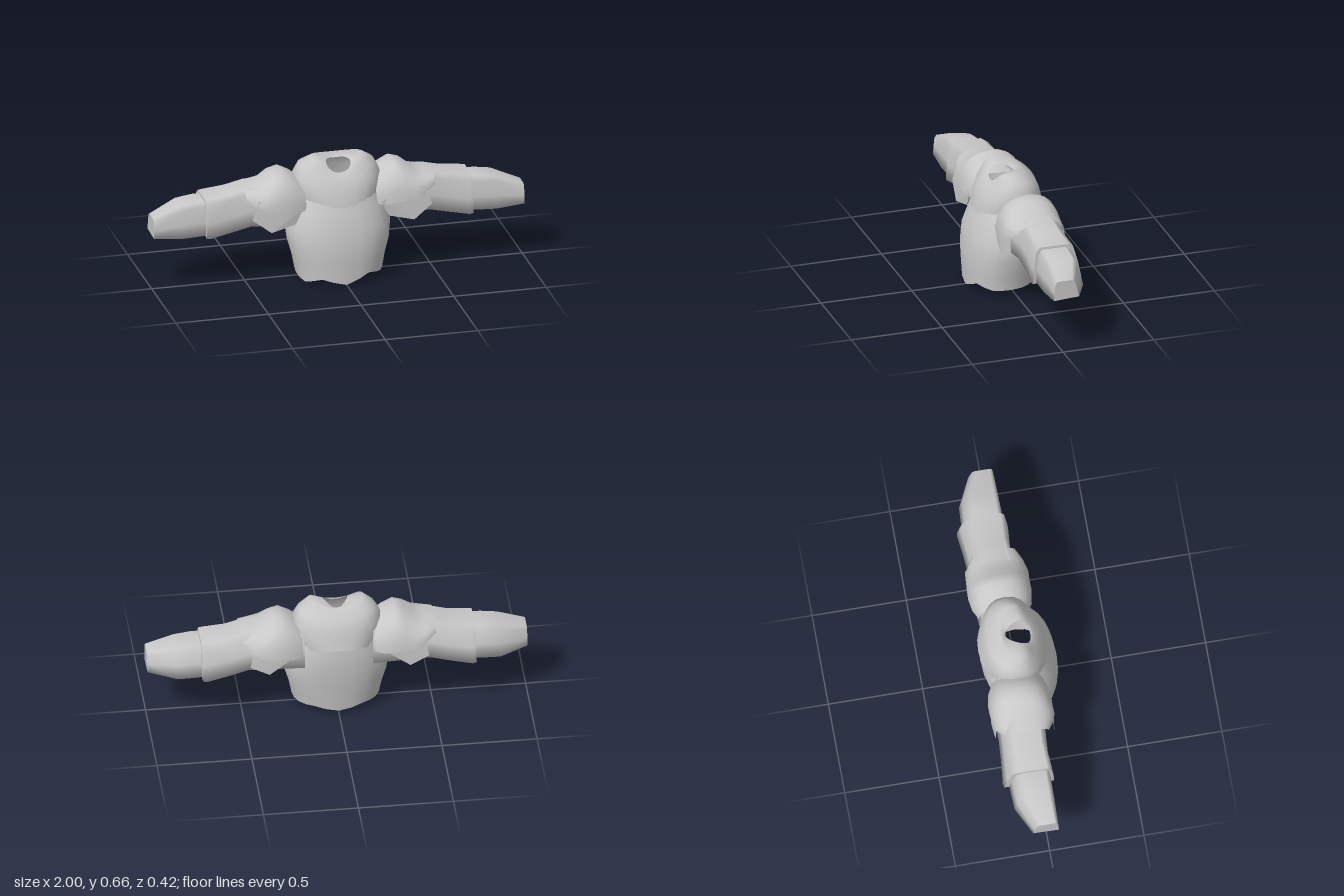
import * as THREE from 'three';

const cloth = new THREE.MeshStandardMaterial({ color: 0xc8c8c8, side: THREE.DoubleSide });
cloth.name = 'grey cloth';

// Skin a list of equal-length point rings; closed rings wrap around.
function loft(name, rings, closed = true) {
  const n = rings[0].length, index = [];
  const spans = closed ? n : n - 1;
  for (let r = 0; r < rings.length - 1; r++) {
    for (let i = 0; i < spans; i++) {
      const a = r * n + i, b = r * n + (i + 1) % n;
      index.push(a, b, a + n, b, b + n, a + n);
    }
  }
  const geo = new THREE.BufferGeometry();
  geo.setAttribute('position', new THREE.Float32BufferAttribute(rings.flat(2), 3));
  geo.setIndex(index);
  geo.computeVertexNormals();
  const mesh = new THREE.Mesh(geo, cloth);
  mesh.name = name;
  return mesh;
}

const SEG = 24;
const pow = (v, e) => Math.sign(v) * Math.abs(v) ** e;
const angles = Array.from({ length: SEG }, (_, i) => (i / SEG) * Math.PI * 2);

// Horizontal section: half width, front z, back z; y is a function of the angle.
function section(hx, zf, zb, yAt, e = 0.88, taper = 0) {
  return angles.map((a, i) => {
    const c = pow(Math.cos(a), e), s = pow(Math.sin(a), e);
    return [hx * s * (1 + taper * c), yAt(a, i), (zf + zb) / 2 + ((zf - zb) / 2) * c];
  });
}

// Uneven hem heights, from the front centre around by the left side
const hem = [0.005, 0.055, 0.037, 0.04, 0.045, 0.05, 0.025, 0.05, 0.045, 0.035, 0.012, 0.038];
const hemY = (a, i) => (i % 2 ? (hem[(i - 1) / 2] + hem[((i + 1) / 2) % 12]) / 2 : hem[i / 2]);

function makeTorso() {
  const rows = [
    [0.12, 0.245, 0.21, -0.17], [0.2, 0.268, 0.21, -0.18], [0.3, 0.28, 0.198, -0.195],
    [0.4, 0.25, 0.165, -0.195], [0.48, 0.21, 0.135, -0.185],
  ];
  return loft('torso', [
    section(0.23, 0.205, -0.155, hemY),
    ...rows.map(([y, hx, zf, zb]) => section(hx, zf, zb, () => y)),
  ]);
}

// Yoke over the shoulders, ending in the neck opening
function makeYoke() {
  const rows = [ // y front, y side, y back, half width, z front, z back, taper
    [0.42, 0.41, 0.445, 0.205, 0.158, -0.206, 0],
    [0.475, 0.49, 0.48, 0.228, 0.147, -0.195, 0],
    [0.53, 0.56, 0.54, 0.232, 0.125, -0.18, 0],
    [0.565, 0.62, 0.6, 0.2, 0.1, -0.155, 0],
    [0.585, 0.662, 0.645, 0.14, 0.08, -0.09, 0],
    [0.585, 0.635, 0.62, 0.06, 0.07, -0.062, 0.4],
  ];
  return loft('yoke', rows.map(([yf, ys, yb, hx, zf, zb, t]) => section(hx, zf, zb, (a) => {
    const c = Math.cos(a);
    return ys + ((c > 0 ? yf : yb) - ys) * c * c;
  }, 0.88, t)));
}

// Rounded trapezoid profile shared by sleeve and forearm (u: front to back, v: up)
const armProfile = [[0, 0], [0.02, 0.4], [0.06, 0.87], [0.14, 1], [0.72, 1], [0.84, 0.9], [0.93, 0.5], [1, 0.08]];
const armRing = ([x, zf, zb, y0, y1]) =>
  armProfile.map(([u, v]) => [x, y0 + (y1 - y0) * v, zf + (zb - zf) * u]);

function flap(name, pts) {
  const geo = new THREE.BufferGeometry();
  geo.setAttribute('position', new THREE.Float32BufferAttribute(pts.flat(), 3));
  geo.setIndex([0, 4, 1, 1, 4, 3, 1, 3, 2]);
  geo.computeVertexNormals();
  const mesh = new THREE.Mesh(geo, cloth);
  mesh.name = name;
  return mesh;
}

function makeArm() {
  const arm = new THREE.Group();

  // Sleeve with an open cuff and a flat rim
  const sleeve = [
    [0.18, 0.08, -0.17, 0.31, 0.53], [0.35, 0.085, -0.18, 0.325, 0.535],
    [0.48, 0.07, -0.18, 0.33, 0.53], [0.58, 0.065, -0.185, 0.305, 0.505], [0.7, 0.075, -0.197, 0.283, 0.49],
    [0.72, 0.072, -0.192, 0.286, 0.488],
  ].map(armRing);
  const inner = armRing([0.722, 0.052, -0.165, 0.3, 0.47]);
  arm.add(loft('sleeve', sleeve), loft('cuffRim', [sleeve[sleeve.length - 1], inner]));

  // Forearm, tapering to a flat end
  const fore = [
    [0.69, 0.055, -0.165, 0.3, 0.475], [0.76, 0.056, -0.165, 0.295, 0.475],
    [0.85, 0.055, -0.16, 0.291, 0.463], [1, 0.05, -0.088, 0.303, 0.41],
  ].map(armRing);
  const end = fore[fore.length - 1];
  arm.add(loft('forearm', fore), loft('forearmEnd', [end, end.map(() => [1, 0.355, -0.02])]));

  // Shoulder cap: arches set along x, open underneath
  const arches = [ // x, top, bottom, z front, z back
    [0.19, 0.53, 0.4, 0.1, -0.17], [0.24, 0.575, 0.4, 0.12, -0.195],
    [0.3, 0.605, 0.41, 0.13, -0.206], [0.35, 0.59, 0.41, 0.128, -0.205],
    [0.4, 0.55, 0.42, 0.13, -0.2], [0.45, 0.538, 0.44, 0.115, -0.19],
    [0.51, 0.528, 0.48, 0.08, -0.15],
  ].map(([x, top, bottom, zf, zb]) => Array.from({ length: 13 }, (_, i) => {
    const t = (i / 12) * Math.PI;
    return [x, bottom + (top - bottom) * Math.sin(t) ** 0.9,
      (zf + zb) / 2 + ((zf - zb) / 2) * pow(Math.cos(t), 0.85)];
  }));
  arm.add(loft('shoulderCap', arches, false));

  // Hanging flaps in front and behind
  arm.add(flap('frontFlap', [[0.21, 0.42, 0.115], [0.3, 0.45, 0.122], [0.45, 0.48, 0.11],
    [0.485, 0.38, 0.115], [0.385, 0.305, 0.128]]));
  arm.add(flap('frontFlapInner', [[0.21, 0.42, 0.115], [0.25, 0.335, 0.11], [0.27, 0.33, 0.113],
    [0.385, 0.305, 0.128], [0.3, 0.4, 0.122]]));
  arm.add(flap('backFlap', [[0.23, 0.42, -0.19], [0.3, 0.45, -0.2], [0.45, 0.47, -0.185],
    [0.47, 0.37, -0.195], [0.37, 0.32, -0.2]]));
  return arm;
}

export function createModel() {
  const model = new THREE.Group();
  model.name = 'jacket';
  const left = makeArm(), right = makeArm();
  left.name = 'leftArm';
  right.name = 'rightArm';
  right.scale.x = -1;
  model.add(makeTorso(), makeYoke(), left, right);
  return model;
}
